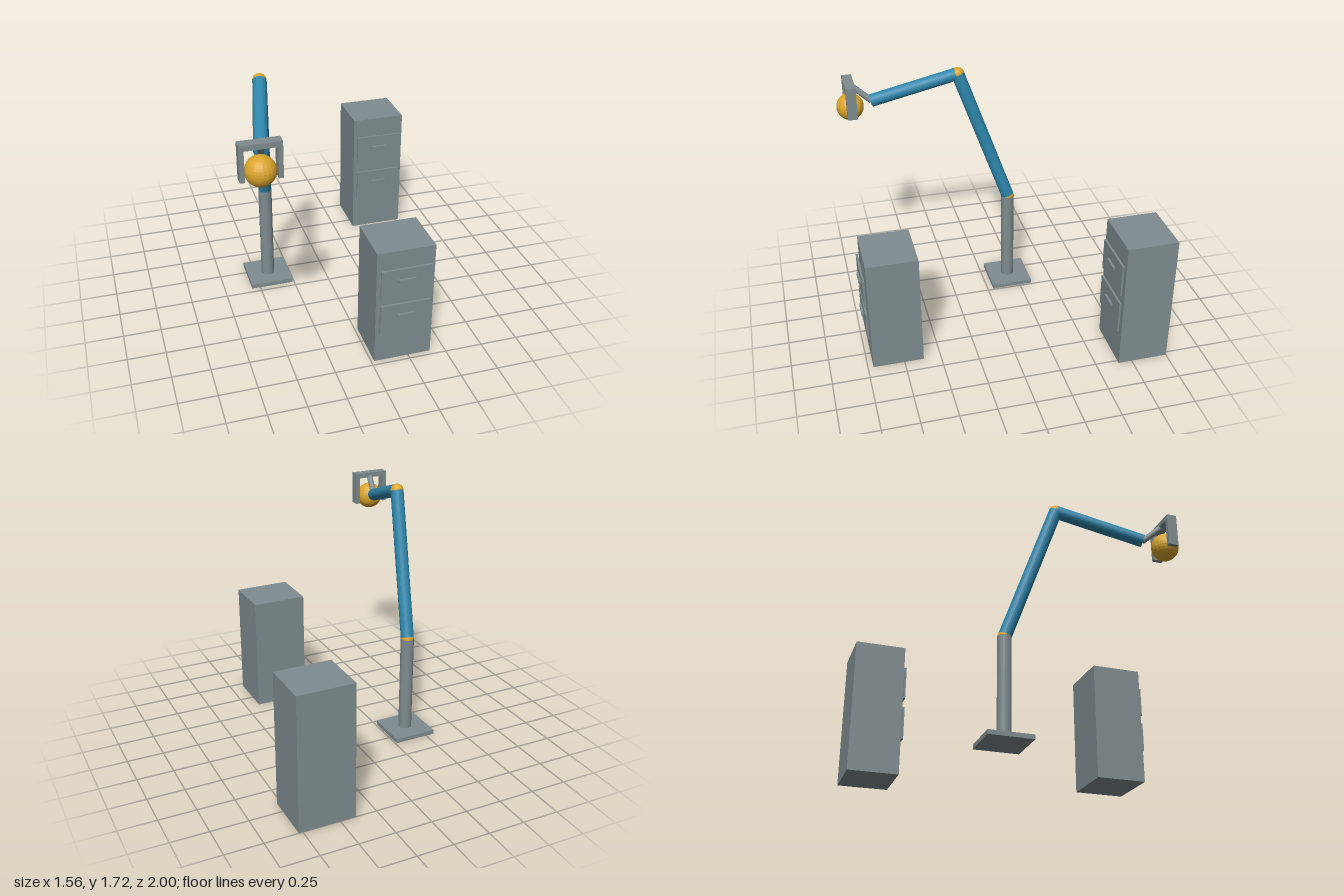
import * as THREE from 'three';

const material = (name, color) => {
  const m = new THREE.MeshStandardMaterial({ color, flatShading: true });
  m.name = name;
  return m;
};

export function createModel() {
  const grey = material('steel grey', 0x7f8c8f);
  const blue = material('arm blue', 0x2e86ab);
  const gold = material('joint gold', 0xdaa52d);
  const model = new THREE.Group();
  model.name = 'deskLampAndCabinets';

  const add = (parent, name, geometry, mat) => {
    const mesh = new THREE.Mesh(geometry, mat);
    mesh.name = name;
    parent.add(mesh);
    return mesh;
  };

  // Box given by its minimum and maximum corners
  const box = (parent, name, a, b, mat = grey) =>
    add(parent, name, new THREE.BoxGeometry(b[0] - a[0], b[1] - a[1], b[2] - a[2]), mat)
      .position.set((a[0] + b[0]) / 2, (a[1] + b[1]) / 2, (a[2] + b[2]) / 2);

  // Cylinder running between two points
  const rod = (parent, name, a, b, radius, mat) => {
    const dir = b.clone().sub(a);
    const mesh = add(parent, name, new THREE.CylinderGeometry(radius, radius, dir.length(), 24), mat);
    mesh.position.copy(a).add(b).multiplyScalar(0.5);
    mesh.quaternion.setFromUnitVectors(new THREE.Vector3(0, 1, 0), dir.normalize());
  };

  const ball = (parent, name, p, radius) =>
    add(parent, name, new THREE.SphereGeometry(radius, 20, 16), gold).position.copy(p);

  // Jointed arm on its stand
  const arm = new THREE.Group();
  arm.name = 'arm';
  model.add(arm);
  const foot = new THREE.Vector3(-0.41, 0.03, -0.188);
  const shoulder = new THREE.Vector3(-0.41, 0.718, -0.188);
  const elbow = new THREE.Vector3(-0.49, 1.678, 0.148);
  const wrist = new THREE.Vector3(-0.62, 1.488, 0.73);
  const mount = new THREE.Vector3(-0.65, 1.6, 0.86);
  box(arm, 'base', [-0.56, 0, -0.34], [-0.261, 0.03, -0.041]);
  rod(arm, 'post', foot, shoulder, 0.046, grey);
  ball(arm, 'shoulderJoint', shoulder, 0.046);
  rod(arm, 'lowerArm', shoulder, elbow, 0.045, blue);
  ball(arm, 'elbowJoint', elbow, 0.045);
  rod(arm, 'upperArm', elbow, wrist, 0.044, blue);
  rod(arm, 'wristRod', wrist, mount, 0.021, grey);

  // Bracket holding the round head
  const head = new THREE.Group();
  head.name = 'head';
  model.add(head);
  box(head, 'bracketBar', [-0.782, 1.592, 0.84], [-0.53, 1.627, 0.909]);
  box(head, 'bracketRightLeg', [-0.782, 1.397, 0.84], [-0.753, 1.592, 0.909]);
  box(head, 'bracketLeftLeg', [-0.559, 1.397, 0.84], [-0.53, 1.592, 0.909]);
  ball(head, 'headBall', new THREE.Vector3(-0.656, 1.444, 0.876), 0.094);

  // Cabinets: drawer panels stand just off the front, with bar handles
  const cabinet = (name, cx, front, height, drawers) => {
    const g = new THREE.Group();
    g.name = name;
    model.add(g);
    box(g, 'body', [cx - 0.191, 0, front - 0.345], [cx + 0.191, height, front]);
    for (const [low, high, handleY] of drawers) {
      box(g, 'drawer', [cx - 0.166, low, front + 0.008], [cx + 0.17, high, front + 0.022]);
      box(g, 'handle', [cx - 0.057, handleY - 0.009, front + 0.022], [cx + 0.058, handleY + 0.009, front + 0.037]);
    }
  };
  cabinet('frontCabinet', 0.211, 0.963, 0.814, [[0.231, 0.432, 0.352], [0.491, 0.692, 0.613]]);
  cabinet('backCabinet', 0.585, -0.655, 0.923, [[0.26, 0.489, 0.4], [0.555, 0.784, 0.694]]);

  return model;
}
